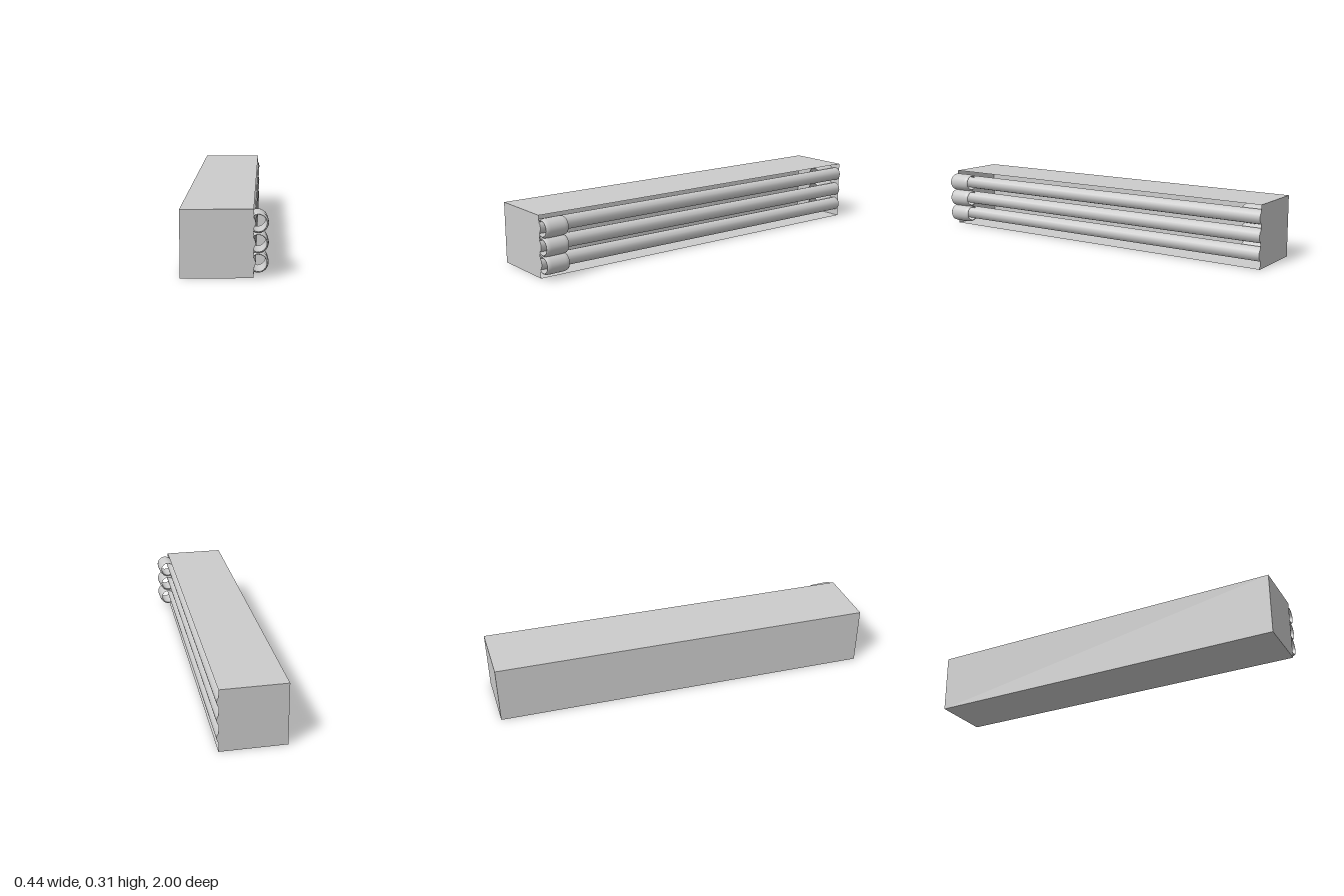
import * as THREE from 'three';

const SHEAR = -0.0515;

// Slide x along the length so the part runs at a slight slant, ends staying square to z
function slant(geometry, x, y) {
  const p = geometry.attributes.position;
  for (let i = 0; i < p.count; i++) {
    p.setX(i, p.getX(i) + x + SHEAR * p.getZ(i));
    p.setY(i, p.getY(i) + y);
  }
  return geometry;
}

export function createModel() {
  const model = new THREE.Group();
  const material = new THREE.MeshStandardMaterial({ color: 0xcccccc, side: THREE.DoubleSide });
  const add = (name, geometry) => {
    const mesh = new THREE.Mesh(geometry, material);
    mesh.name = name;
    model.add(mesh);
    return mesh;
  };

  // Slanted casing, open on the +x side
  const casing = new THREE.BoxGeometry(0.332, 0.315, 2);
  casing.setIndex(Array.from(casing.index.array).slice(6));
  casing.clearGroups();
  slant(casing, -0.0055, 0.1575);
  casing.computeVertexNormals();
  add('casing', casing);

  // Hollow collar with rounded outer rims, turned about its own axis
  const collarProfile = [
    [0.038, -0.062], [0.042, -0.062], [0.046, -0.056], [0.048, -0.04],
    [0.048, 0.04], [0.046, 0.056], [0.042, 0.062], [0.038, 0.062], [0.038, -0.062],
  ].map(([r, h]) => new THREE.Vector2(r, h));
  const collar = new THREE.LatheGeometry(collarProfile, 32).rotateX(Math.PI / 2);

  // Three stacked rods with a collar at each end
  [0.07, 0.16, 0.252].forEach((y) => {
    const rod = new THREE.CylinderGeometry(0.037, 0.037, 1.996, 12).rotateX(Math.PI / 2);
    add('rod', slant(rod, 0.133, y));
    for (const end of [1, -1]) {
      add(end > 0 ? 'frontCollar' : 'backCollar', collar).position.set(0.13, y, end * 0.937);
    }
  });

  return model;
}
